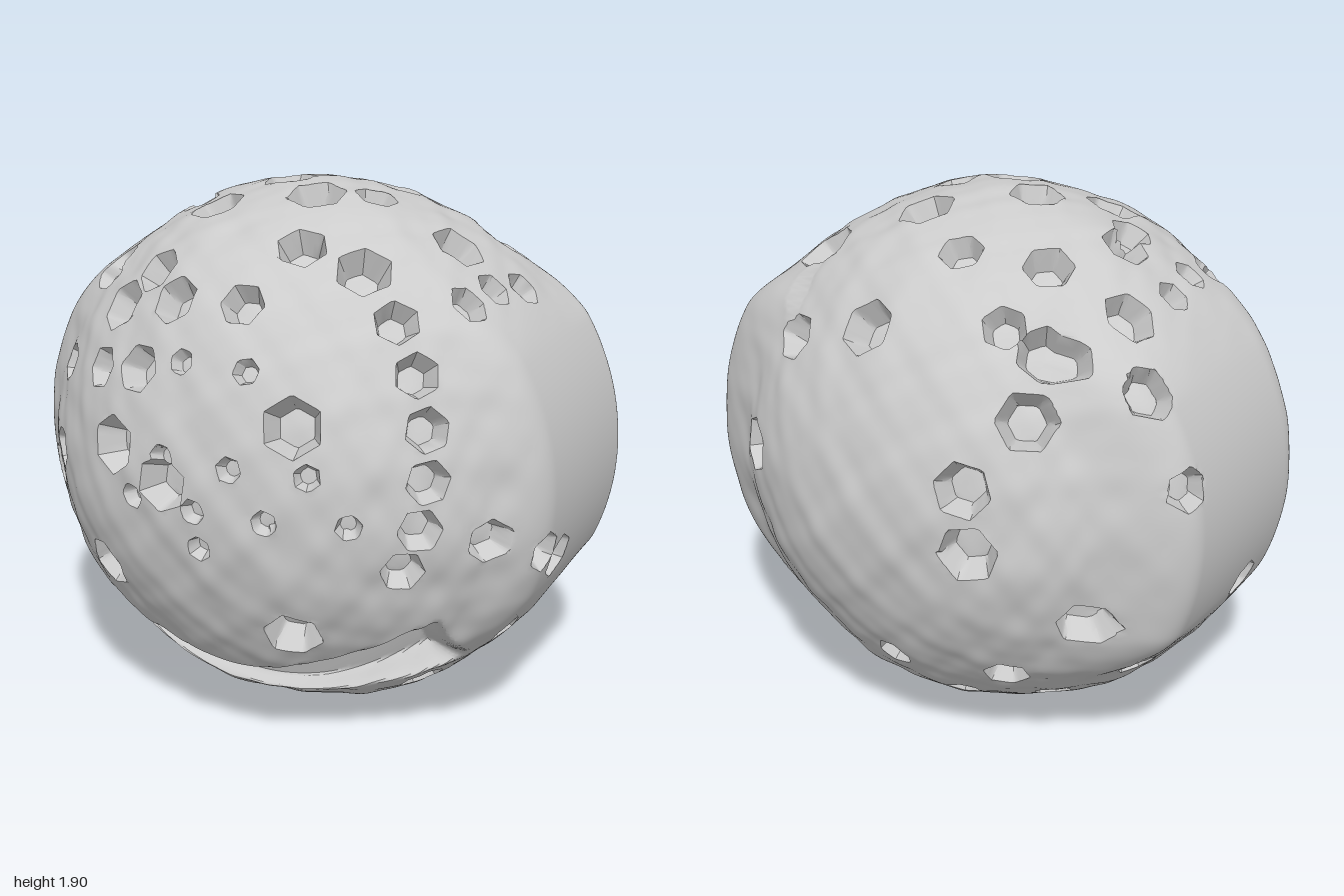
import * as THREE from 'three';
import { mergeVertices, toCreasedNormals } from 'three/addons/utils/BufferGeometryUtils.js';

const RADII = new THREE.Vector3(0.985, 0.94, 0.885);
const FLOOR = 0.62; // pit floor size relative to its rim
const SNAP = 0.009; // distance within which vertices move onto a pit edge
const { smoothstep, lerp, clamp, degToRad } = THREE.MathUtils;

// Put a six-sided pit on the ellipsoid, seen along a direction (azimuth, elevation)
function makePit(az, el, a, b, r, turn) {
  const s = Math.sin(degToRad(az)), c = Math.cos(degToRad(az));
  const se = Math.sin(degToRad(el)), ce = Math.cos(degToRad(el));
  const toward = new THREE.Vector3(s * ce, se, c * ce);
  const pos = new THREE.Vector3(c, 0, -s).multiplyScalar(a)
    .addScaledVector(new THREE.Vector3(-s * se, ce, -c * se), b);
  const q = pos.clone().divide(RADII), d = toward.clone().divide(RADII);
  const A = d.dot(d), B = q.dot(d), C = q.dot(q) - 1;
  pos.addScaledVector(toward, (-B + Math.sqrt(Math.max(0, B * B - A * C))) / A);
  const n = pos.clone().divide(RADII).divide(RADII).normalize();
  const u = new THREE.Vector3(0, 0, 1).cross(n);
  if (u.length() < 0.3) u.set(0, 1, 0).cross(n);
  u.normalize();
  const v = n.clone().cross(u);
  const axes = [0, 1, 2].map(k => {
    const angle = turn + k * Math.PI / 3;
    return u.clone().multiplyScalar(Math.cos(angle)).addScaledVector(v, Math.sin(angle));
  });
  return { pos, n, r, axes };
}

function makePits() {
  const pits = [];
  const add = (az, el, a, b, r) => pits.push(makePit(az, el, a, b, r, pits.length));
  const sizes = [0.1, 0.085, 0.095, 0.075];
  const group = (az, el, list) => list.forEach(([a, b], i) => add(az, el, a, b, sizes[i % 4]));
  const row = (n, place) => { for (let i = 0; i < n; i++) place(i / (n - 1), i); };

  // large pits: face, crown, left side, back
  group(0, 0, [[-0.35, 0.16], [-0.28, 0.42], [-0.12, 0.08], [-0.47, 0.38], [0.32, 0.32], [-0.2, 0.63],
    [-0.45, -0.32], [0.06, 0.65], [0.3, -0.42], [0.16, 0.81], [0.38, 0.75], [0.93, -0.17], [-0.85, -0.14],
    [-0.34, 0.69], [-0.46, 0.57], [-0.92, -0.33]]);
  group(0, 90, [[0.18, 0.23], [-0.36, 0.31], [-0.12, 0], [-0.08, 0.4], [0.07, -0.16], [-0.48, 0.02],
    [-0.29, -0.22], [0.24, -0.05], [0.12, 0.66], [0.45, 0.63], [0.55, -0.05], [-0.34, 0.54],
    [0.52, 0.33], [-0.62, 0.26], [-0.48, 0.52], [-0.44, -0.09]]);
  group(90, 0, [[0.7, 0.09], [-0.1, -0.24], [0.52, -0.54], [-0.44, -0.08]]);
  group(225, 30, [[-0.11, -0.04], [0.19, 0.05], [-0.32, -0.23], [0.3, -0.26], [-0.31, -0.43], [0.06, -0.69]]);

  // pits bordering both sides of the face
  row(6, t => {
    const angle = lerp(-0.24, 0.86, t), reach = lerp(0.67, 0.81, t);
    add(0, 0, reach * Math.cos(angle), reach * Math.sin(angle), 0.075);
  });
  row(3, t => {
    const angle = lerp(0.03, 0.78, t), reach = lerp(0.72, 0.87, t);
    add(0, 0, -reach * Math.cos(angle), reach * Math.sin(angle), 0.07);
  });
  // pits above each side panel
  row(3, t => add(0, 90, lerp(0.73, 0.66, t), lerp(0.07, -0.26, t), 0.065));
  row(3, t => add(0, 90, lerp(-0.67, -0.6, t), lerp(0.03, -0.32, t), 0.06));
  // small pits across the face
  row(7, (t, i) => add(0, 0, lerp(-0.25, 0.51, t), i % 2 ? 0.17 : 0.01, 0.045));
  row(3, (t, i) => add(0, 0, lerp(-0.1, 0.14, t), i === 1 ? -0.12 : 0.47, 0.045));
  // two staggered rows around the back of the underside
  row(15, (t, i) => {
    const angle = lerp(65, 295, t);
    add(angle, 0, 0, i % 2 ? -0.55 : -0.74, i % 3 ? 0.065 : 0.08);
  });
  return pits;
}

// Soft uneven surface
const lumps = p => 0.005 * (Math.sin(9 * p.x + 4 * p.y) * Math.sin(8 * p.y + 3) + Math.sin(11 * p.z - 5 * p.x + 1)
  + 1.3 * Math.sin(23 * p.x + 7) * Math.sin(21 * p.y) * Math.sin(22 * p.z + 2)
  + 0.5 * Math.sin(41 * p.x) * Math.sin(38 * p.y + 1) * Math.cos(40 * p.z));

// Smooth raised panel on each side
function sidePanel(p) {
  if (Math.abs(p.x) < 0.5) return 0;
  const inZ = smoothstep(p.z, -0.62, -0.37) * (1 - smoothstep(p.z, 0.22, 0.45));
  return inZ * (1 - smoothstep(Math.abs(p.y - 0.06), 0.4, 0.7));
}

// Lower edge of the curved mouth, and the mouth band above it
const lowerLip = x => 0.15 + 0.4 * x * x;
function mouth(p) {
  if (p.z < 0) return 0;
  const y = p.y + 0.94, lo = lowerLip(p.x), hi = 0.32 + 0.48 * p.x * p.x;
  return smoothstep(y, lo - 0.01, lo + 0.035) * (1 - smoothstep(y, hi - 0.015, hi + 0.012))
    * (1 - smoothstep(Math.abs(p.x), 0.64, 0.72));
}

// Find the pit a surface point lies in; t is 0 at its centre and 1 at its rim
function findPit(p, pits) {
  let best = null;
  for (const pit of pits) {
    const diff = p.clone().sub(pit.pos);
    if (diff.lengthSq() > pit.r * pit.r * 1.8) continue;
    const t = Math.max(...pit.axes.map(a => Math.abs(diff.dot(a)))) / (pit.r * 0.9);
    if (t < 1.2 && (!best || t < best.t)) best = { pit, diff, t };
  }
  return best;
}

function shellGeometry() {
  let geo = new THREE.IcosahedronGeometry(1, 75);
  geo.deleteAttribute('normal');
  geo.deleteAttribute('uv');
  geo = mergeVertices(geo, 1e-4);
  const pits = makePits(), attr = geo.attributes.position;
  const p = new THREE.Vector3(), out = new THREE.Vector3();
  for (let i = 0; i < attr.count; i++) {
    p.fromBufferAttribute(attr, i).normalize().multiply(RADII);
    const panel = sidePanel(p), bite = mouth(p);
    out.copy(p);

    if (panel > 0) {
      const full = Math.sqrt(1 - (p.y / 0.94) ** 2 - (0.25 * p.z) ** 2);
      out.x = Math.sign(p.x) * lerp(Math.abs(p.x), full, panel);
    }
    out.multiplyScalar(1 + lumps(p) * (1 - panel) * (1 - bite));

    // six-sided pits with straight walls, crisp edges and a flat floor
    const hit = findPit(p, pits);
    if (hit && bite === 0) {
      const { pit, diff, t } = hit;
      const edge = [1, FLOOR].find(e => Math.abs(t - e) * pit.r < SNAP) ?? t;
      diff.addScaledVector(pit.n, -diff.dot(pit.n));
      if (t > 0) out.addScaledVector(diff, edge / t - 1);
      out.addScaledVector(pit.n, -Math.min(0.1, pit.r) * clamp((1 - edge) / (1 - FLOOR), 0, 1));
    }

    // hollow the mouth back to an inner wall
    if (bite > 0) {
      const ring = Math.sqrt(1 - (p.y / 0.94) ** 2);
      const wall = 0.47 + (p.y + 0.94 - lowerLip(p.x)) * 0.4;
      const s = lerp(1, Math.min(1, wall / ring), bite);
      out.x *= lerp(1, s, 0.4);
      out.z *= s;
    }
    attr.setXYZ(i, out.x, out.y + 0.94, out.z);
  }
  return toCreasedNormals(geo, 0.6);
}

export function createModel() {
  const group = new THREE.Group();
  group.name = 'crateredBall';
  const shell = new THREE.Mesh(shellGeometry(), new THREE.MeshStandardMaterial({ color: 0xcccccc }));
  shell.name = 'crateredShell';
  group.add(shell);
  return group;
}
